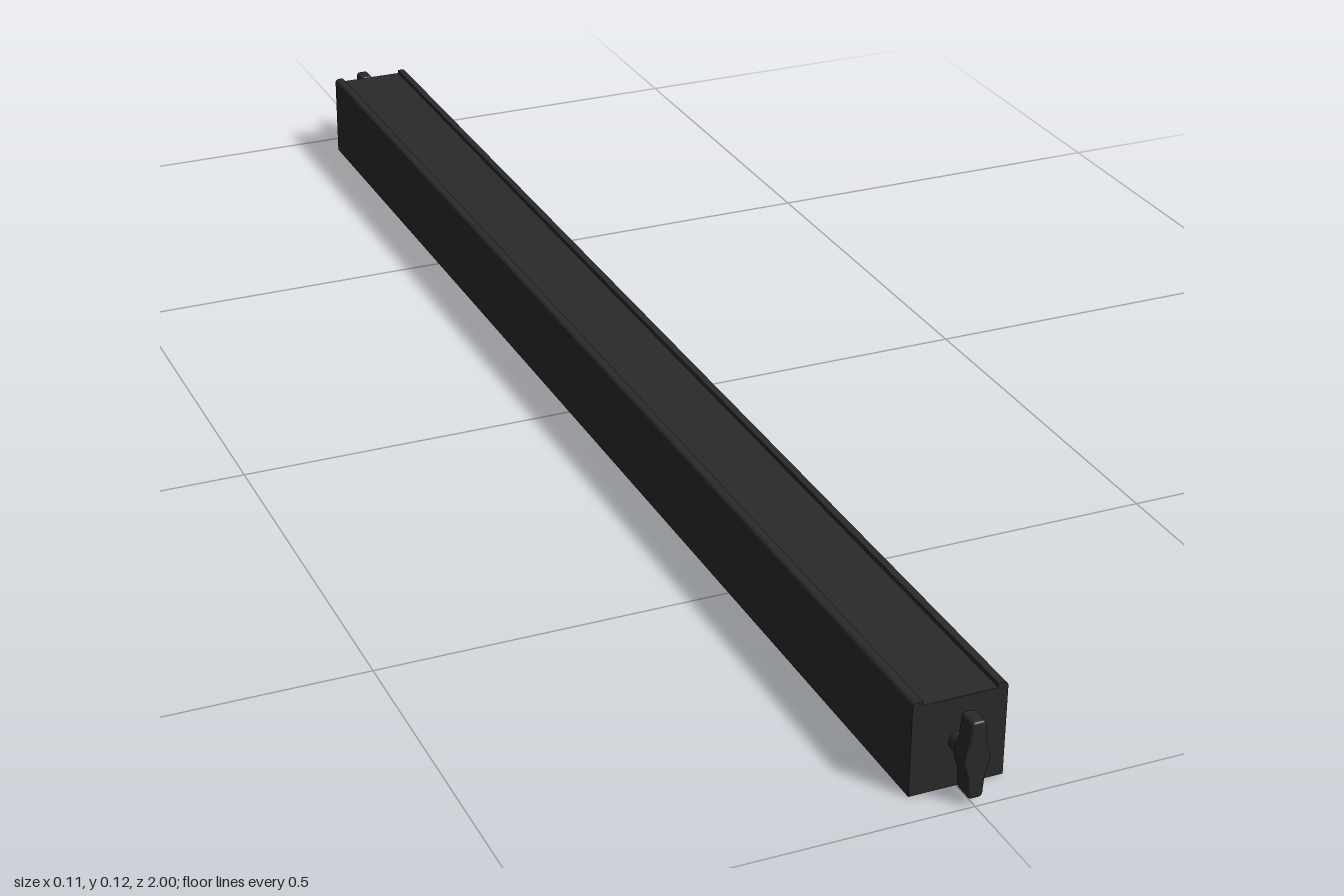
import * as THREE from 'three';

const DARK = new THREE.MeshStandardMaterial({ color: 0x2a2a2a });

function addMesh(parent, name, geometry) {
  const mesh = new THREE.Mesh(geometry, DARK);
  mesh.name = name;
  parent.add(mesh);
  return mesh;
}

// Long housing: square section with two raised, rounded lips along the top edges
function housingGeometry() {
  const w = 0.057, deck = 0.112, top = 0.117, lip = 0.045, r = 0.006, length = 1.914;
  const s = new THREE.Shape();
  s.moveTo(-w, 0);
  s.lineTo(w, 0);
  s.lineTo(w, top - r);
  s.quadraticCurveTo(w, top, w - r, top);
  s.lineTo(lip, top);
  s.lineTo(lip, deck);
  s.lineTo(-lip, deck);
  s.lineTo(-lip, top);
  s.lineTo(-w + r, top);
  s.quadraticCurveTo(-w, top, -w, top - r);
  s.closePath();
  const g = new THREE.ExtrudeGeometry(s, { depth: length, bevelEnabled: false, curveSegments: 6 });
  return g.translate(0, 0, -length / 2);
}

// Turn handle: slim blade, swelling at the middle, with softened edges
function handleGeometry() {
  const bevel = 0.003, depth = 0.02;
  const s = new THREE.Shape();
  s.moveTo(0.004, 0.045);
  s.quadraticCurveTo(0.006, 0.045, 0.006, 0.042);
  s.lineTo(0.0075, 0.02);
  s.quadraticCurveTo(0.0125, 0.006, 0.0125, 0);
  s.quadraticCurveTo(0.0125, -0.006, 0.0075, -0.02);
  s.lineTo(0.006, -0.042);
  s.quadraticCurveTo(0.006, -0.045, 0.004, -0.045);
  s.lineTo(-0.004, -0.045);
  s.quadraticCurveTo(-0.006, -0.045, -0.006, -0.042);
  s.lineTo(-0.0075, -0.02);
  s.quadraticCurveTo(-0.0125, -0.006, -0.0125, 0);
  s.quadraticCurveTo(-0.0125, 0.006, -0.0075, 0.02);
  s.lineTo(-0.006, 0.042);
  s.quadraticCurveTo(-0.006, 0.045, -0.004, 0.045);
  s.closePath();
  return new THREE.ExtrudeGeometry(s, {
    depth, bevelEnabled: true, bevelThickness: bevel, bevelSize: bevel, bevelSegments: 3, curveSegments: 6,
  }).translate(0, 0, 1 - depth - bevel);
}

export function createModel() {
  const model = new THREE.Group();
  model.name = 'beam';
  addMesh(model, 'housing', housingGeometry());

  // A turn handle on a short stem at each end
  const handle = handleGeometry();
  const stem = new THREE.CylinderGeometry(0.012, 0.012, 0.03, 24).rotateX(Math.PI / 2).translate(0, 0, 0.965);
  for (const [name, turn] of [['frontHandle', 0], ['backHandle', Math.PI]]) {
    const end = new THREE.Group();
    end.name = name;
    end.position.y = 0.058;
    end.rotation.y = turn;
    addMesh(end, 'blade', handle);
    addMesh(end, 'stem', stem);
    model.add(end);
  }
  return model;
}
